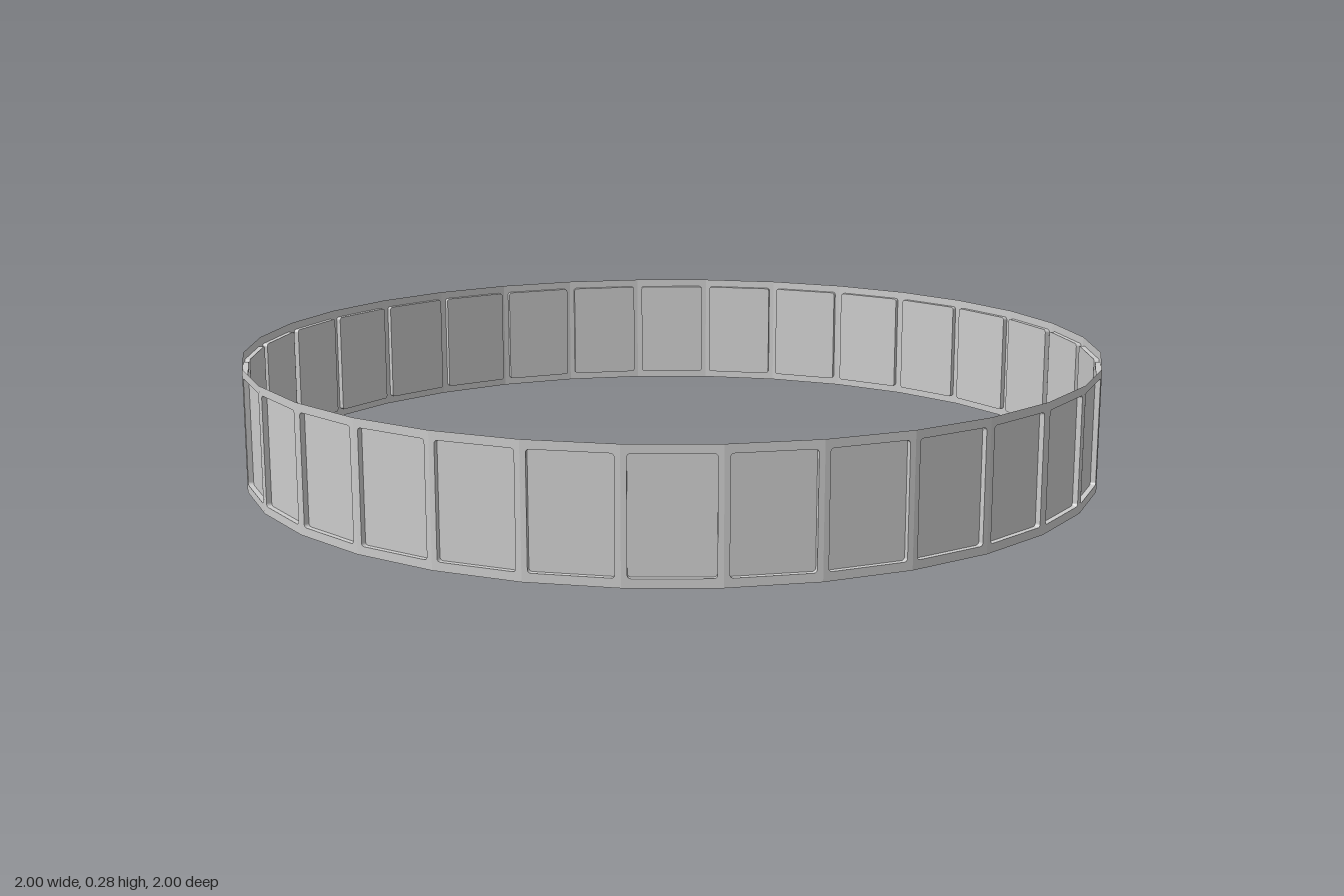
import * as THREE from 'three';

const SIDES = 32;
const HEIGHT = 0.283;
const WIDTH = 2 * Math.sin(Math.PI / SIDES);   // one facet of a ring of radius 1
const APOTHEM = Math.cos(Math.PI / SIDES);
const MARGIN_X = 0.012, MARGIN_Y = 0.019, CORNER = 0.007, DEPTH = 0.012;

// Rounded rectangle centred on the origin
function roundedRect(w, h, r, PathType) {
  const x = w / 2, y = h / 2, p = new PathType();
  p.moveTo(-x + r, -y);
  p.lineTo(x - r, -y);
  p.absarc(x - r, -y + r, r, -Math.PI / 2, 0);
  p.lineTo(x, y - r);
  p.absarc(x - r, y - r, r, 0, Math.PI / 2);
  p.lineTo(-x + r, y);
  p.absarc(-x + r, y - r, r, Math.PI / 2, Math.PI);
  p.lineTo(-x, -y + r);
  p.absarc(-x + r, -y + r, r, Math.PI, Math.PI * 1.5);
  return p;
}

// Strip of walls joining an outline at z = 0 to the same outline at z = -depth
function wallStrip(points, depth) {
  const pos = [], index = [], n = points.length;
  points.forEach(p => pos.push(p.x, p.y, 0, p.x, p.y, -depth));
  for (let i = 0; i < n; i++) {
    const a = 2 * i, b = 2 * ((i + 1) % n);
    index.push(a, b, a + 1, b, b + 1, a + 1);
  }
  const g = new THREE.BufferGeometry();
  g.setAttribute('position', new THREE.Float32BufferAttribute(pos, 3));
  g.setIndex(index);
  g.computeVertexNormals();
  return g;
}

export function createModel() {
  const ring = new THREE.Group();
  ring.name = 'panelledRing';
  const material = new THREE.MeshStandardMaterial({
    color: 0xcccccc, flatShading: true, side: THREE.DoubleSide,
  });

  const w = WIDTH - 2 * MARGIN_X, h = HEIGHT - 2 * MARGIN_Y;

  // Flat facet with a rounded opening
  const facet = new THREE.Shape([
    new THREE.Vector2(-WIDTH / 2, -HEIGHT / 2), new THREE.Vector2(WIDTH / 2, -HEIGHT / 2),
    new THREE.Vector2(WIDTH / 2, HEIGHT / 2), new THREE.Vector2(-WIDTH / 2, HEIGHT / 2),
  ]);
  facet.holes.push(roundedRect(w, h, CORNER, THREE.Path));
  const frameGeo = new THREE.ShapeGeometry(facet, 4);

  // Panel pressed inward, and the walls around it
  const panelShape = roundedRect(w, h, CORNER, THREE.Shape);
  const panelGeo = new THREE.ShapeGeometry(panelShape, 4).translate(0, 0, -DEPTH);
  const wallGeo = wallStrip(panelShape.getPoints(4), DEPTH);

  const parts = { frame: frameGeo, insetPanel: panelGeo, panelWalls: wallGeo };

  // Repeat the segment around the ring, with facet corners on the axes
  for (let i = 0; i < SIDES; i++) {
    const angle = (i + 0.5) * Math.PI * 2 / SIDES;
    const segment = new THREE.Group();
    segment.name = 'segment' + (i + 1);
    segment.position.set(Math.sin(angle) * APOTHEM, HEIGHT / 2, Math.cos(angle) * APOTHEM);
    segment.rotation.y = angle;
    for (const [name, geometry] of Object.entries(parts)) {
      const mesh = new THREE.Mesh(geometry, material);
      mesh.name = name;
      segment.add(mesh);
    }
    ring.add(segment);
  }
  return ring;
}
